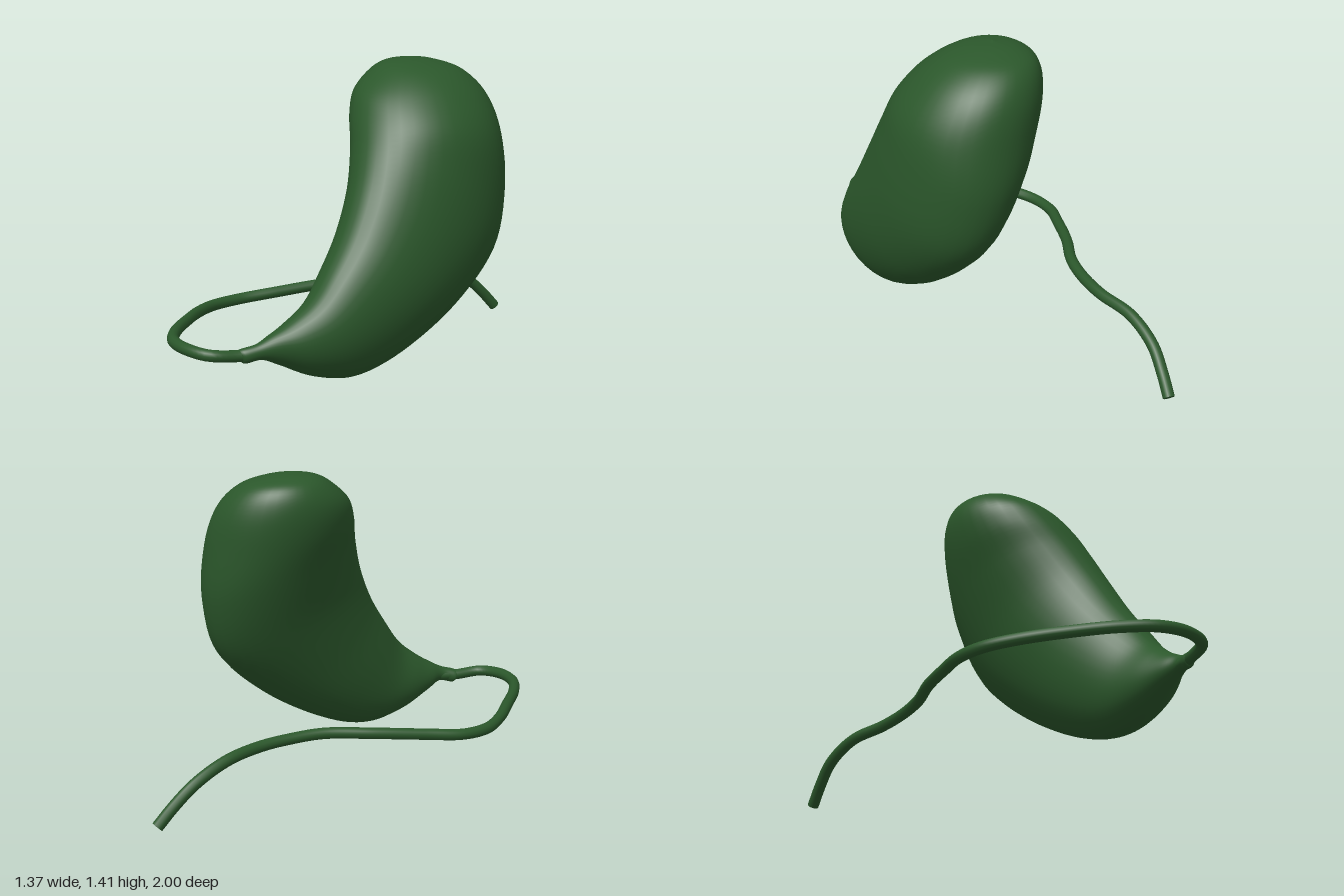
import * as THREE from 'three';

const green = new THREE.MeshStandardMaterial({ color: 0x2b572b });
green.name = 'dark green';

// Diagonal frame: a runs along (1,0,-1), b along (1,0,1)
const toWorld = (a, y, b) => new THREE.Vector3((a + b) * Math.SQRT1_2, y, (b - a) * Math.SQRT1_2);

// Body sections: inner edge (a, y, b), outer edge (a, y, b), half thickness
const sections = [
  [-0.83, 0.27, 0.44, -0.83, 0.27, 0.44, 0],
  [-0.84, 0.30, 0.445, -0.82, 0.24, 0.445, 0.03],
  [-0.77, 0.32, 0.47, -0.75, 0.25, 0.465, 0.035],
  [-0.71, 0.35, 0.48, -0.66, 0.21, 0.455, 0.065],
  [-0.635, 0.395, 0.495, -0.50, 0.135, 0.455, 0.115],
  [-0.535, 0.475, 0.51, -0.30, 0.10, 0.445, 0.16],
  [-0.445, 0.59, 0.495, -0.06, 0.165, 0.43, 0.20],
  [-0.345, 0.73, 0.46, 0.24, 0.33, 0.40, 0.235],
  [-0.255, 0.90, 0.41, 0.485, 0.55, 0.35, 0.265],
  [-0.185, 1.06, 0.34, 0.57, 0.81, 0.30, 0.295],
  [-0.135, 1.18, 0.265, 0.565, 1.06, 0.265, 0.31],
  [-0.08, 1.275, 0.205, 0.53, 1.235, 0.215, 0.275],
  [0.01, 1.35, 0.17, 0.45, 1.345, 0.165, 0.205],
  [0.095, 1.393, 0.145, 0.33, 1.393, 0.14, 0.11],
  [0.21, 1.41, 0.135, 0.21, 1.41, 0.135, 0],
];

// Smooth skin lofted through the elliptical sections
function loft(rows, steps, sides) {
  const edge = o => new THREE.CatmullRomCurve3(rows.map(r => toWorld(...r.slice(o, o + 3))), false, 'catmullrom', 0.5);
  const inner = edge(0), outer = edge(3);
  const thickness = new THREE.SplineCurve(rows.map((r, i) => new THREE.Vector2(i, r[6])));
  const side = toWorld(0, 0, 1);
  const pos = [], index = [];
  for (let i = 0; i <= steps; i++) {
    const u = i / steps, p = inner.getPoint(u), q = outer.getPoint(u);
    const thick = Math.max(thickness.getPoint(u).y, 0);
    for (let j = 0; j < sides; j++) {
      const t = (j / sides) * Math.PI * 2;
      const v = p.clone().lerp(q, (1 + Math.cos(t)) / 2).addScaledVector(side, -thick * Math.sin(t));
      pos.push(v.x, v.y, v.z);
      if (i < steps) {
        const n = (j + 1) % sides, r = i * sides, s = r + sides;
        index.push(r + j, r + n, s + n, r + j, s + n, s + j);
      }
    }
  }
  const g = new THREE.BufferGeometry();
  g.setAttribute('position', new THREE.Float32BufferAttribute(pos, 3));
  g.setIndex(index);
  g.computeVertexNormals();
  return g;
}

// Thin hose path from the body's neck round to the free end
const path = [
  [-0.17, 0.28, 0.83], [-0.28, 0.275, 0.905], [-0.39, 0.288, 0.968], [-0.5, 0.295, 0.925],
  [-0.59, 0.292, 0.82], [-0.635, 0.285, 0.66], [-0.65, 0.275, 0.45], [-0.655, 0.26, 0.25],
  [-0.63, 0.25, 0.1], [-0.55, 0.25, -0.02], [-0.4, 0.265, -0.12], [-0.2, 0.285, -0.24],
  [0, 0.295, -0.34], [0.12, 0.288, -0.44], [0.22, 0.278, -0.56], [0.31, 0.255, -0.73],
  [0.4, 0.185, -0.86], [0.47, 0.1, -0.93], [0.525, 0.02, -0.98],
];

export function createModel() {
  const group = new THREE.Group();
  const add = (name, geometry) => {
    const m = new THREE.Mesh(geometry, green);
    m.name = name;
    group.add(m);
    return m;
  };

  add('body', loft(sections, 84, 36));

  const curve = new THREE.CatmullRomCurve3(path.map(p => new THREE.Vector3(...p)));
  add('hose', new THREE.TubeGeometry(curve, 140, 0.026, 12));

  // Flat end of the hose
  const cap = add('hoseEnd', new THREE.CircleGeometry(0.026, 12));
  cap.position.copy(curve.getPoint(1));
  cap.quaternion.setFromUnitVectors(new THREE.Vector3(0, 0, 1), curve.getTangent(1));

  return group;
}
